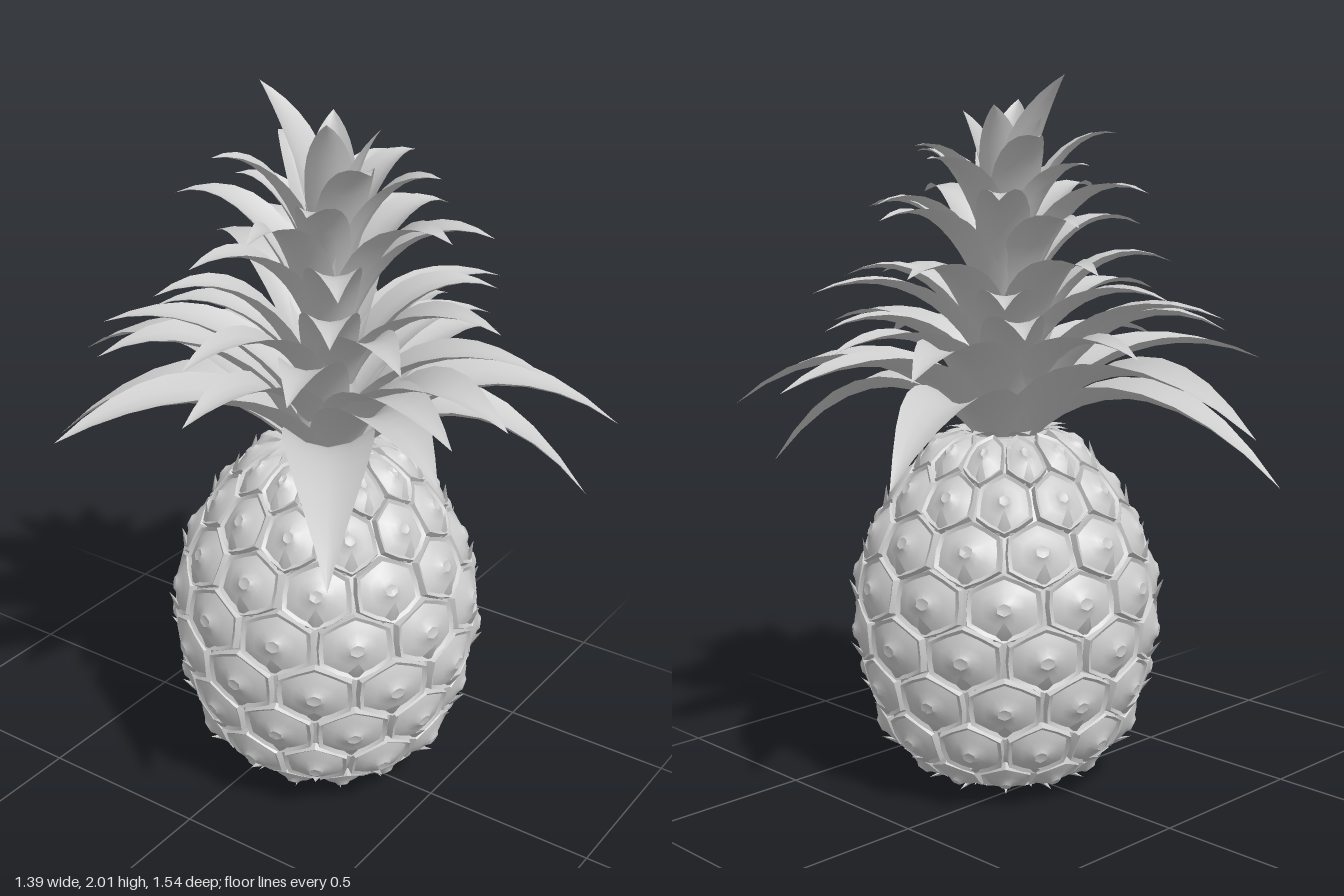
import * as THREE from 'three';
import { mergeGeometries, toCreasedNormals } from 'three/addons/utils/BufferGeometryUtils.js';

const AXIS = new THREE.Vector3(0.015, 0, 0.115); // centre line of the fruit
const material = new THREE.MeshStandardMaterial({ color: 0xcccccc });
const thin = new THREE.MeshStandardMaterial({ color: 0xcccccc, side: THREE.DoubleSide });

// Fruit outline as (radius, height), bottom to top
const profile = new THREE.SplineCurve([
  [0.07, 0.035], [0.2, 0.045], [0.28, 0.1], [0.355, 0.2], [0.416, 0.47],
  [0.38, 0.7], [0.257, 0.9], [0.15, 0.99], [0.06, 1.01],
].map(([r, y]) => new THREE.Vector2(r, y)));
const LENGTH = profile.getLength();

// Point on the fruit's skin, lifted along the normal
function skin(theta, arc, lift) {
  const t = THREE.MathUtils.clamp(arc / LENGTH, 0, 1);
  const p = profile.getPointAt(t), d = profile.getTangentAt(t);
  const r = p.x + d.y * lift;
  return [r * Math.sin(theta), p.y - d.x * lift, r * Math.cos(theta)];
}

function meshFrom(positions, index) {
  const g = new THREE.BufferGeometry();
  g.setAttribute('position', new THREE.Float32BufferAttribute(positions, 3));
  g.setIndex(index);
  g.computeVertexNormals();
  return g;
}

// Hexagonal scale: rings from the groove over the rim to the central bump
const ROW = 0.142, PER_ROW = 12, SIDES = 12;
const RINGS = [[0.95, -0.004], [0.88, 0.02], [0.78, 0.013], [0.5, 0.022], [0.27, 0.026], [0.16, 0.034], [0.01, 0.03]];
function scaleGeometry(theta, arc) {
  const pos = [], idx = [];
  for (const [f, lift] of RINGS)
    for (let i = 0; i < SIDES; i++) {
      // point on a unit hexagon that stands on a corner
      const a = i / SIDES * Math.PI * 2, wedge = (i % 2) * Math.PI / 6;
      const r = f * (wedge ? 0.9 : 1);
      const u = r * Math.cos(a + Math.PI / 6) * 1.15, v = r * Math.sin(a + Math.PI / 6) * 0.7;
      pos.push(...skin(theta + u * Math.PI / PER_ROW, arc + v * ROW, lift));
    }
  for (let k = 0; k < RINGS.length - 1; k++)
    for (let i = 0; i < SIDES; i++) {
      const a = k * SIDES + i, b = k * SIDES + (i + 1) % SIDES;
      idx.push(a, b, b + SIDES, a, b + SIDES, a + SIDES);
    }
  return toCreasedNormals(meshFrom(pos, idx), 0.6);
}

// Small pointed bract lying in the groove below a scale
function bractGeometry(theta, arc) {
  const w = 0.3 * Math.PI / PER_ROW;
  const pos = [[-w, -0.62, 0], [w, -0.62, 0], [0, -0.55, 0.022], [0, -0.2, 0.044]]
    .flatMap(([u, v, lift]) => skin(theta + u, arc + v * ROW, lift));
  return meshFrom(pos, [0, 1, 2, 0, 2, 3, 2, 1, 3]);
}

// Cupped blade along an arc that leaves the stem and ends at the tip
function leafGeometry([x, tipY, z], { baseY, stemR, width, lift, cup = 0.3 }) {
  const dx = x - AXIS.x, dz = z - AXIS.z, R = Math.hypot(dx, dz), rise = tipY - baseY;
  const out = new THREE.Vector3(dx / R, 0, dz / R);
  const at = (r, y) => out.clone().multiplyScalar(r).setY(y);
  const curve = new THREE.CubicBezierCurve3(
    at(stemR, baseY),
    at(stemR + R * 0.16, baseY + Math.max(rise * 0.6, 0) + lift * 0.55),
    at(stemR + (R - stemR) * 0.55, Math.max(tipY, baseY) + lift),
    at(R, tipY));
  const side = new THREE.Vector3(out.z, 0, -out.x);
  const pos = [], idx = [], N = 10, M = 4;
  for (let i = 0; i <= N; i++) {
    const t = i / N, c = curve.getPoint(t), normal = side.clone().cross(curve.getTangent(t)).negate(); // hollow faces up and inward
    const w = width * (t < 0.4 ? 0.72 + 0.28 * Math.sin(t / 0.4 * Math.PI / 2) : Math.cos((t - 0.4) / 0.6 * Math.PI / 2));
    for (let j = 0; j <= M; j++) {
      const u = j / M * 2 - 1;
      const p = c.clone().addScaledVector(side, u * w).addScaledVector(normal, u * u * w * cup * (1.8 - t));
      pos.push(p.x, p.y, p.z);
    }
  }
  for (let i = 0; i < N; i++)
    for (let j = 0; j < M; j++) {
      const a = i * (M + 1) + j, b = a + M + 1;
      idx.push(a, a + 1, b + 1, a, b + 1, b);
    }
  return meshFrom(pos, idx);
}

// Evenly turned leaf tips with a little wave in reach and height
function ringTips(count, reach, y, turn, wave = 0.1) {
  return Array.from({ length: count }, (_, i) => {
    const a = (i + turn + 0.2 * Math.sin(i * 2.3)) / count * Math.PI * 2;
    const r = reach * (1 + wave * Math.sin(i * 4.1 + turn));
    return [AXIS.x + r * Math.sin(a), y + wave * 0.5 * Math.sin(i * 2.9), AXIS.z + r * Math.cos(a)];
  });
}

// The long, irregular outer leaves: tips as [x, y, z]
const DROOPING = [[0.01, 1.09, -0.77], [-0.23, 0.92, -0.67], [0.69, 0.97, -0.17], [-0.69, 1.03, 0.59], [0.37, 0.89, 0.74], [0.48, 1.07, 0.77]];
const LOWER = [[-0.7, 1.19, -0.24], [0.69, 1.17, 0.27], [-0.37, 1.2, 0.69], [0.64, 1.24, -0.2], [-0.08, 1.24, 0.72], [-0.4, 1.3, -0.35]];

export function createModel() {
  const model = new THREE.Group();
  model.name = 'pineapple';
  const add = (name, geometry, mat = material, y = 0) => {
    const mesh = new THREE.Mesh(geometry, mat);
    mesh.name = name;
    mesh.position.set(AXIS.x, y, AXIS.z);
    model.add(mesh);
  };
  const addLeaves = (name, tips, shape) =>
    add(name, mergeGeometries(tips.map((tip) => leafGeometry(tip, shape))), thin);

  // Fruit body
  const outline = profile.getSpacedPoints(36);
  add('body', new THREE.LatheGeometry([new THREE.Vector2(0, 0.035), ...outline, new THREE.Vector2(0, 1.01)], 48));

  // Staggered rows of scales with their bracts
  const scales = [], bracts = [];
  for (let k = -4; k <= 4; k++) {
    const arc = LENGTH * 0.465 + k * ROW;
    for (let i = 0; i < PER_ROW; i++) {
      const theta = (i + (k % 2 ? 0.5 : 0)) / PER_ROW * Math.PI * 2;
      scales.push(scaleGeometry(theta, arc));
      bracts.push(bractGeometry(theta, arc));
    }
  }
  add('scales', mergeGeometries(scales));
  add('bracts', mergeGeometries(bracts), thin);

  // Stub and sepals under the fruit, collar on top
  add('bottomStub', new THREE.CylinderGeometry(0.06, 0.045, 0.05, 12), material, 0.025);
  const sepal = { width: 0.03, lift: 0.008, cup: 0.1 };
  addLeaves('bottomSepals', ringTips(14, 0.18, 0.02, 0, 0.03), { ...sepal, baseY: 0.035, stemR: 0.05 });
  addLeaves('topCollar', ringTips(16, 0.19, 1.01, 0, 0.04), { ...sepal, baseY: 1.0, stemR: 0.08 });

  // Crown, from the drooping outer leaves up to the spire
  add('crownStem', new THREE.CylinderGeometry(0.03, 0.1, 0.62, 12), material, 1.29);
  addLeaves('droopingLeaves', DROOPING, { baseY: 1.0, stemR: 0.09, width: 0.12, lift: 0.24 });
  addLeaves('lowerLeaves', LOWER, { baseY: 1.03, stemR: 0.09, width: 0.11, lift: 0.13 });
  addLeaves('spreadingLeaves', ringTips(9, 0.57, 1.3, 0.4), { baseY: 1.1, stemR: 0.08, width: 0.085, lift: 0.09 });
  addLeaves('middleLeaves', ringTips(11, 0.5, 1.44, 0.1), { baseY: 1.2, stemR: 0.07, width: 0.08, lift: 0.08 });
  addLeaves('upperLeaves', ringTips(10, 0.41, 1.64, 0.6), { baseY: 1.36, stemR: 0.06, width: 0.075, lift: 0.07 });
  addLeaves('crownLeaves', ringTips(8, 0.29, 1.8, 0.3), { baseY: 1.48, stemR: 0.04, width: 0.07, lift: 0.02 });
  addLeaves('topLeaves', ringTips(4, 0.13, 1.91, 0.2), { baseY: 1.54, stemR: 0.03, width: 0.065, lift: -0.06 });
  addLeaves('spire', [[0, 2, -0.1]], { baseY: 1.54, stemR: 0.02, width: 0.07, lift: -0.08 });
  return model;
}
